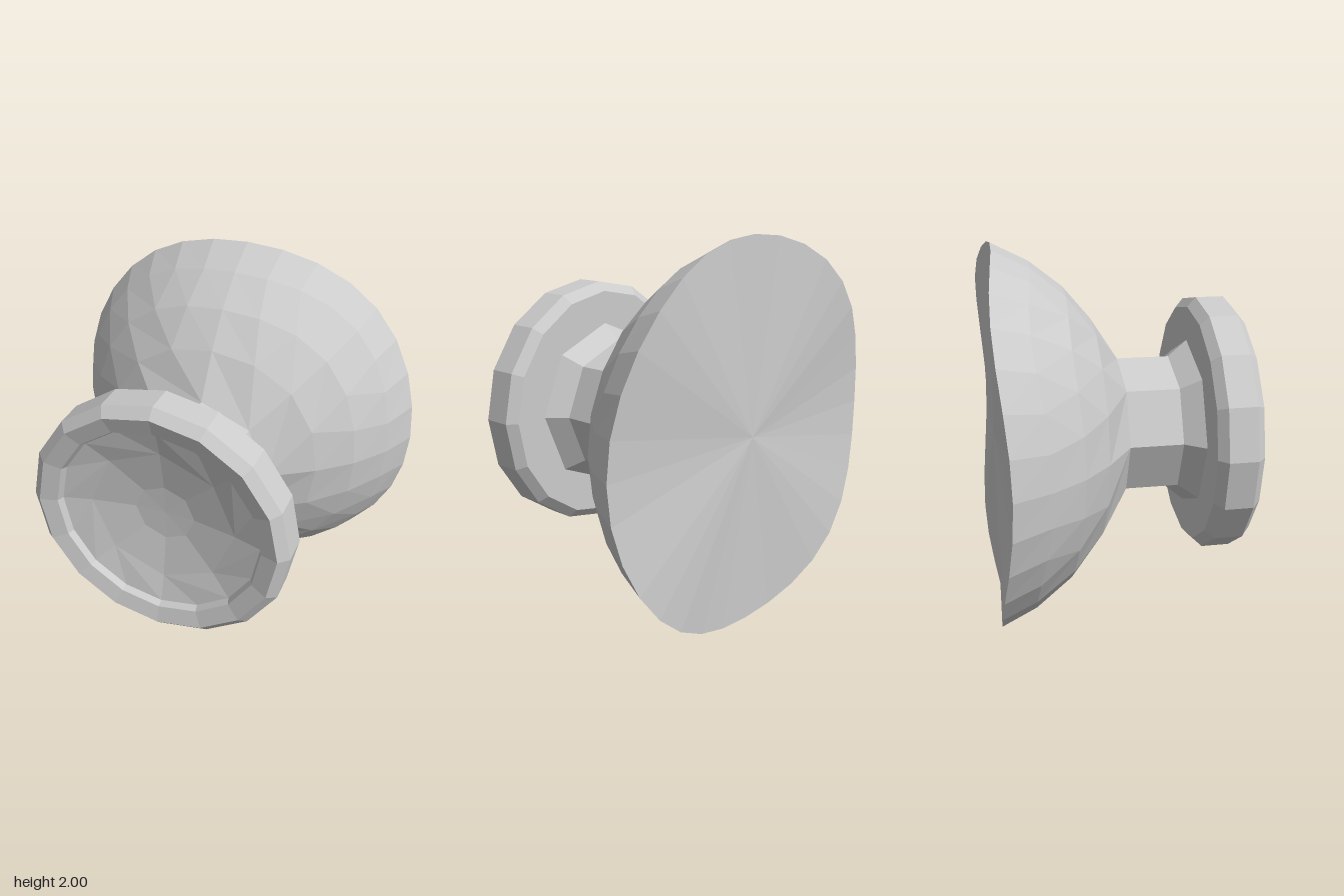
import * as THREE from 'three';

const material = new THREE.MeshStandardMaterial({ color: 0xcccccc, flatShading: true });

// Joins rings { n sides, r radius, z, square } from back to front; neighbours may differ in sides.
function loft(name, rings, depthAt) {
  const point = ({ n, r, z, square = 0 }, i) => {
    const a = (i / n) * Math.PI * 2;
    const rad = r * (1 + square * Math.sin(2 * a) ** 2);
    return [rad * Math.cos(a), rad * Math.sin(a), z ?? depthAt(rad)];
  };
  const pos = [];
  for (let k = 0; k + 1 < rings.length; k++) {
    const A = rings[k], B = rings[k + 1];
    let i = 0, j = 0;
    while (i < A.n || j < B.n) {
      const stepA = j >= B.n || (i < A.n && (i + 1) / A.n <= (j + 1) / B.n);
      if (stepA) {
        if (A.r > 0) pos.push(...point(A, i), ...point(A, i + 1), ...point(B, j));
        i++;
      } else {
        if (B.r > 0) pos.push(...point(A, i), ...point(B, j + 1), ...point(B, j));
        j++;
      }
    }
  }
  const geometry = new THREE.BufferGeometry();
  geometry.setAttribute('position', new THREE.Float32BufferAttribute(pos, 3));
  geometry.computeVertexNormals();
  const mesh = new THREE.Mesh(geometry, material);
  mesh.name = name;
  mesh.position.y = 1;
  return mesh;
}

export function createModel() {
  const group = new THREE.Group();
  group.name = 'thumbstick';

  // Spherical base with a gently wavy rim, closed by a fan at the back
  const sphereDepth = (r) => -0.991 + Math.sqrt(1.145 - r * r);
  group.add(loft('domeBase', [
    { n: 1, r: 0, z: -0.63 },
    { n: 32, r: 1, square: 0.018 },
    { n: 32, r: 0.905, square: 0.04 },
    { n: 24, r: 0.77, square: 0.04 },
    { n: 16, r: 0.6, square: 0.025 },
    { n: 8, r: 0.375, z: 0.04 },
  ], sphereDepth));

  // Octagonal neck flaring into the cap
  group.add(loft('neck', [
    { n: 8, r: 0.375, z: 0.04 },
    { n: 8, r: 0.375, z: 0.32 },
    { n: 8, r: 0.46, z: 0.42 },
  ]));

  // Chamfered cap
  group.add(loft('cap', [
    { n: 1, r: 0, z: 0.42 },
    { n: 16, r: 0.64, z: 0.42 },
    { n: 16, r: 0.69, z: 0.465 },
    { n: 16, r: 0.69, z: 0.615 },
    { n: 16, r: 0.64, z: 0.66 },
    { n: 16, r: 0.55, z: 0.635 },
  ]));

  // Small step and concave thumb dish
  group.add(loft('thumbDish', [
    { n: 16, r: 0.55, z: 0.635 },
    { n: 16, r: 0.535, z: 0.6 },
    { n: 8, r: 0.39, z: 0.56 },
    { n: 8, r: 0.16, z: 0.52 },
    { n: 1, r: 0, z: 0.515 },
  ]));

  return group;
}
